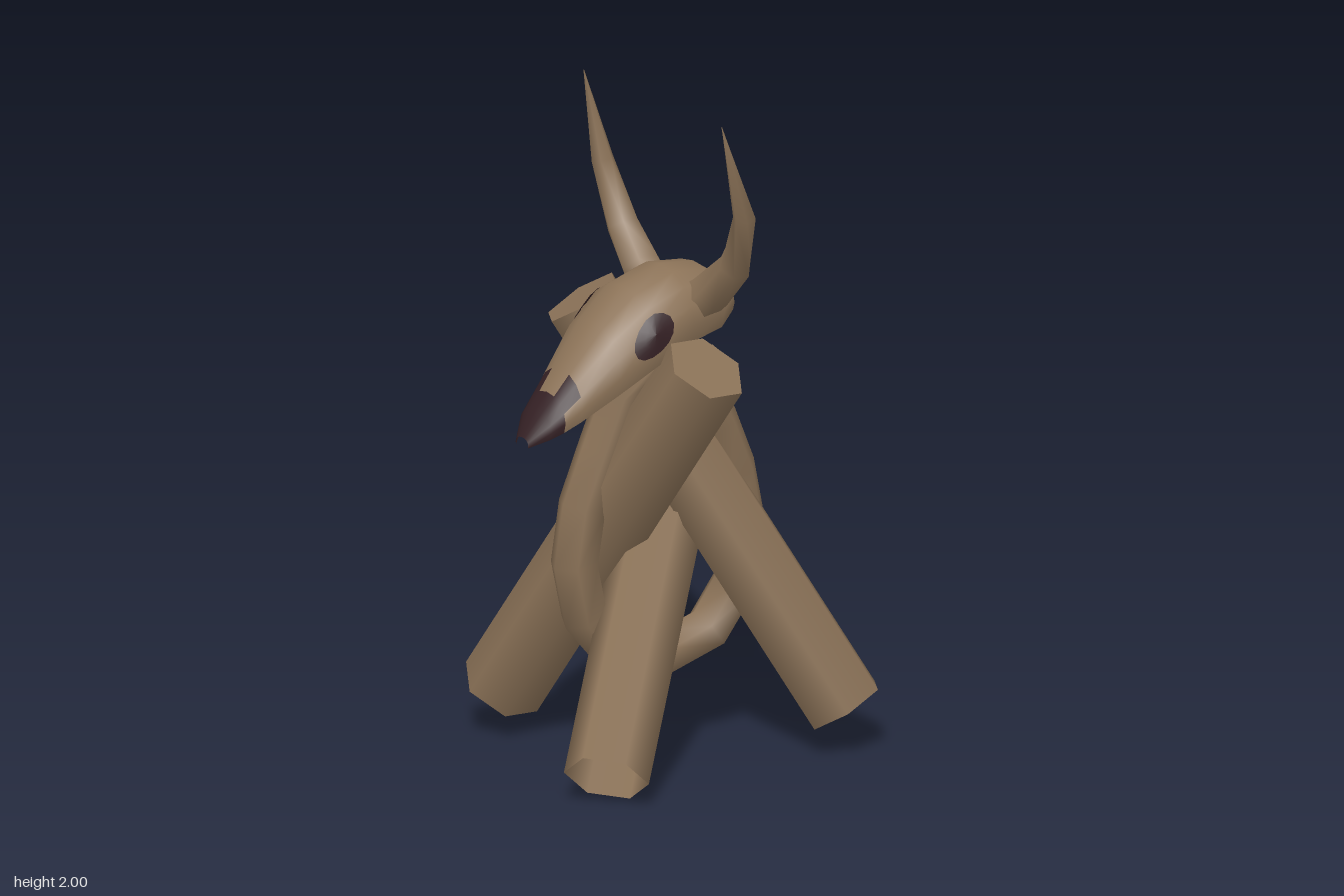
import * as THREE from 'three';

const wood = new THREE.MeshStandardMaterial({ color: 0x8c7358, side: THREE.DoubleSide });
wood.name = 'weathered brown';
const dark = new THREE.MeshStandardMaterial({ color: 0x342024, side: THREE.DoubleSide });
dark.name = 'dark hollow';

const V = (x, y, z) => new THREE.Vector3(x, y, z);
const UP = V(0, 1, 0);

function addMesh(parent, name, geometry, material) {
  const mesh = new THREE.Mesh(geometry, material);
  mesh.name = name;
  parent.add(mesh);
  return mesh;
}

// Skin a list of equal-length rings (or open arcs) of points into a smooth surface
// darkTest(row, column) picks the faces that take the second material
function skin(rings, closed = true, darkTest = () => false) {
  const n = rings[0].length;
  const light = [], shade = [];
  for (let i = 0; i < rings.length - 1; i++) {
    for (let j = 0; j < (closed ? n : n - 1); j++) {
      const a = i * n + j, b = i * n + (j + 1) % n, c = a + n, d = b + n;
      (darkTest(i, j) ? shade : light).push(a, b, c, b, d, c);
    }
  }
  const g = new THREE.BufferGeometry().setFromPoints(rings.flat());
  g.setIndex([...light, ...shade]);
  g.addGroup(0, light.length, 0);
  g.addGroup(light.length, shade.length, 1);
  g.computeVertexNormals();
  return g;
}

// Six-sided log, closed at the top and hollow at the foot
function addLog(parent, name, foot, top, spin) {
  const axis = top.clone().sub(foot);
  const length = axis.length();
  const log = new THREE.Group();
  log.name = name;
  const side = new THREE.CylinderGeometry(0.125, 0.125, length, 6, 1, true).rotateY(Math.PI / 6 + spin);
  const end = new THREE.CircleGeometry(0.125, 6).rotateX(-Math.PI / 2)
    .rotateY(spin).translate(0, length / 2, 0);
  addMesh(log, 'logSide', side, wood);
  addMesh(log, 'logEnd', end, wood);
  log.position.copy(foot).add(top).multiplyScalar(0.5);
  log.quaternion.setFromUnitVectors(UP, axis.normalize());
  parent.add(log);
}

// Tapering bent horn
function addHorn(parent, name, points, radii) {
  const rings = points.map((p, i) => {
    const dir = points[Math.min(i + 1, points.length - 1)].clone()
      .sub(points[Math.max(i - 1, 0)]).normalize();
    const side = V(-dir.z, 0, dir.x).normalize();
    const front = dir.clone().cross(side);
    return Array.from({ length: 6 }, (_, j) => {
      const t = j / 6 * Math.PI * 2;
      return p.clone().addScaledVector(side, radii[i] * Math.cos(t))
        .addScaledVector(front, radii[i] * Math.sin(t));
    });
  });
  addMesh(parent, name, skin(rings), wood);
}

// Skull sections from back to muzzle: distance, centre height, half width, half height
const sections = [
  [-0.175, 1.37, 0.1, 0.065], [-0.1, 1.365, 0.15, 0.12],
  [0.02, 1.355, 0.165, 0.145], [0.16, 1.305, 0.17, 0.155], [0.27, 1.235, 0.145, 0.14],
  [0.38, 1.15, 0.105, 0.1], [0.43, 1.115, 0.09, 0.075], [0.47, 1.09, 0.075, 0.055],
  [0.52, 1.05, 0.03, 0.02],
];

function skullPoint(s, t, offset) {
  let i = 0;
  while (i < sections.length - 2 && s > sections[i + 1][0]) i++;
  const a = sections[i], b = sections[i + 1];
  const f = (s - a[0]) / (b[0] - a[0]);
  const [, y, w, h] = a.map((v, k) => v + (b[k] - v) * f);
  return V((w + offset) * Math.cos(t), y + (h + offset) * Math.sin(t), s);
}

// Thin oval eye hollow that follows the skull surface
function eyePatch(t0, offset) {
  const ring = (r) => Array.from({ length: 14 }, (_, j) => {
    const a = j / 14 * Math.PI * 2;
    return skullPoint(0.16 + 0.066 * r * Math.cos(a), t0 + 0.36 * r * Math.sin(a), offset);
  });
  return skin([ring(1), ring(0.5), ring(0)]);
}

export function createModel() {
  const model = new THREE.Group();
  model.name = 'logTripodWithSkull';

  // Three crossed logs
  addLog(model, 'frontLog', V(-0.105, 0.086, 0.49), V(0.015, 1.05, -0.49), 0);
  addLog(model, 'rightLog', V(-0.503, 0.13, -0.19), V(0.15, 1.255, 0.225), -0.2);
  addLog(model, 'leftLog', V(0.503, 0.135, -0.135), V(-0.255, 1.355, -0.085), -0.28);

  // Skull and hanging loop share a diagonal facing
  const diagonal = new THREE.Group();
  diagonal.name = 'skullAndRope';
  diagonal.rotation.y = -Math.PI / 4;
  model.add(diagonal);

  // Skull is a shell, open underneath and behind
  const columns = 10, low = 0.4;
  const arcs = sections.map(([s]) => Array.from({ length: columns + 1 }, (_, j) =>
    skullPoint(s, -low + j / columns * (Math.PI + 2 * low), 0)));
  // Dark muzzle tip with a point running back on each side
  const muzzle = (i, j) => i >= 6 || (i === 5 && (j === 2 || j === 3 || j === 6 || j === 7));
  addMesh(diagonal, 'skull', skin(arcs, false, muzzle), [wood, dark]);
  // Eye hollows show on both faces of the shell
  for (const offset of [0.005, -0.012]) {
    addMesh(diagonal, 'leftEye', eyePatch(0.3, offset), dark);
    addMesh(diagonal, 'rightEye', eyePatch(Math.PI - 0.35, offset), dark);
  }

  // Rope loop hanging through the logs: distance, height, sideways shift
  const loop = [
    [-0.04, 0.28, -0.08], [-0.22, 0.35, -0.06], [-0.295, 0.52, -0.03], [-0.285, 0.74, -0.03],
    [-0.19, 0.98, -0.02], [-0.06, 1.17, -0.01], [0.08, 1.22, -0.02], [0.17, 1.02, -0.04],
    [0.25, 0.8, -0.065], [0.275, 0.6, -0.07], [0.18, 0.37, -0.08],
  ].map(([s, y, w]) => V(w, y, s));
  const curve = new THREE.CatmullRomCurve3(loop, true);
  addMesh(diagonal, 'ropeLoop', new THREE.TubeGeometry(curve, 14, 0.073, 6, true), wood);

  // Horns
  const radii = [0.07, 0.062, 0.05, 0.034, 0.001];
  addHorn(model, 'leftHorn', [
    V(0.07, 1.37, 0.02), V(0.14, 1.435, 0.065), V(0.22, 1.535, 0.125),
    V(0.26, 1.715, 0.22), V(0.2, 2, 0.262)], radii);
  addHorn(model, 'rightHorn', [
    V(-0.04, 1.37, -0.08), V(-0.09, 1.435, -0.15), V(-0.155, 1.535, -0.225),
    V(-0.222, 1.715, -0.28), V(-0.268, 2, -0.222)], radii);

  return model;
}
